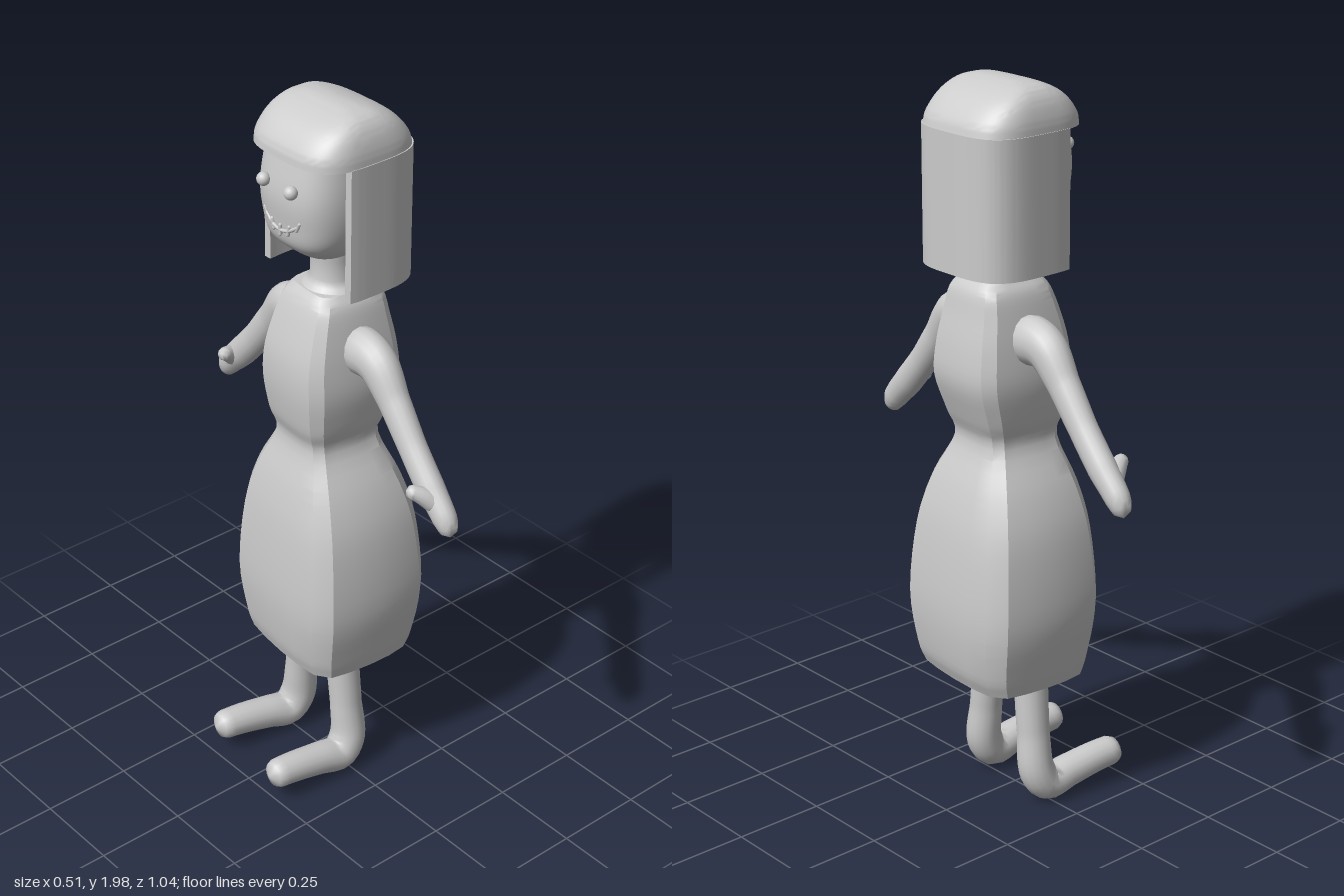
import * as THREE from 'three';
import { toCreasedNormals } from 'three/addons/utils/BufferGeometryUtils.js';

const material = new THREE.MeshStandardMaterial({ color: 0xcccccc });

function add(parent, name, geometry) {
  const mesh = new THREE.Mesh(geometry, material);
  mesh.name = name;
  parent.add(mesh);
  return mesh;
}

// Rounded-square outline with unit half width.
function superellipse(n, count) {
  const pts = [];
  for (let i = 0; i < count; i++) {
    const a = (i / count) * Math.PI * 2, c = Math.cos(a), s = Math.sin(a);
    pts.push([Math.sign(c) * Math.abs(c) ** (2 / n), Math.sign(s) * Math.abs(s) ** (2 / n)]);
  }
  return pts;
}

// Four slightly bulging sides joined by cut corners.
function cutSquare() {
  const quarter = [[1, 0], [0.985, 0.4], [0.94, 0.74], [0.74, 0.93], [0.4, 0.985]];
  const pts = [];
  for (let q = 0; q < 4; q++) {
    for (const [x, z] of quarter) {
      pts.push([[x, z], [-z, x], [-x, -z], [z, -x]][q]);
    }
  }
  return pts;
}

// Smooth a list of rows [y, xFront, xBack, halfDepth].
function smoothRows(rows, count) {
  const a = new THREE.CatmullRomCurve3(rows.map(r => new THREE.Vector3(r[0], r[1], r[3])), false, 'catmullrom');
  const b = new THREE.CatmullRomCurve3(rows.map(r => new THREE.Vector3(r[0], r[2], 0)), false, 'catmullrom');
  const out = [];
  for (let i = 0; i <= count; i++) {
    const p = a.getPoint(i / count), q = b.getPoint(i / count);
    out.push([p.x, p.y, q.y, p.z]);
  }
  return out;
}

// Skin an outline through rows [y, xFront, xBack, halfDepth].
function loft(outline, rows, crease = 0.55) {
  const pos = [], index = [], n = outline.length;
  for (const [y, x0, x1, hz] of rows) {
    for (const [u, v] of outline) pos.push((x0 + x1) / 2 + u * (x1 - x0) / 2, y, v * hz);
  }
  for (let i = 0; i < rows.length - 1; i++) {
    for (let j = 0; j < n; j++) {
      const a = i * n + j, b = i * n + (j + 1) % n, c = a + n, d = b + n;
      index.push(a, c, b, b, c, d);
    }
  }
  const g = new THREE.BufferGeometry();
  g.setAttribute('position', new THREE.Float32BufferAttribute(pos, 3));
  g.setIndex(index);
  return toCreasedNormals(g, crease);
}

// Round-ended tube through points [x, y, z, radius].
function limb(points, xScale = 1, segments = 48, sides = 16) {
  const path = new THREE.CatmullRomCurve3(points.map(p => new THREE.Vector3(p[0], p[1], p[2])));
  const length = path.getLength();
  const steps = [0];
  for (let i = 1; i < points.length; i++) {
    steps.push(steps[i - 1] + Math.hypot(...[0, 1, 2].map(k => points[i][k] - points[i - 1][k])));
  }
  const total = steps[steps.length - 1];
  const radiusAt = u => {
    let i = 1;
    while (i < points.length - 1 && steps[i] < u * total) i++;
    const t = (u * total - steps[i - 1]) / (steps[i] - steps[i - 1]);
    const r = THREE.MathUtils.lerp(points[i - 1][3], points[i][3], t);
    const d = Math.min(u, 1 - u) * length / (r * 0.8);
    return d < 1 ? r * Math.sqrt(Math.max(0, 1 - (1 - d) ** 2)) : r;
  };
  const g = new THREE.TubeGeometry(path, segments, 1, sides, false);
  const p = g.attributes.position, v = new THREE.Vector3();
  for (let i = 0; i <= segments; i++) {
    const center = path.getPointAt(i / segments), r = radiusAt(i / segments);
    for (let j = 0; j <= sides; j++) {
      const k = i * (sides + 1) + j;
      v.fromBufferAttribute(p, k).sub(center).multiplyScalar(r).add(center);
      p.setXYZ(k, v.x * xScale, v.y, v.z);
    }
  }
  return toCreasedNormals(g, 1.2);
}

function buildBody(body) {
  // Dress: hollow skirt, pinched waist and bodice
  const outer = smoothRows([
    [0.39, -0.172, 0.157, 0.193], [0.45, -0.187, 0.177, 0.207], [0.6, -0.2, 0.19, 0.23],
    [0.8, -0.187, 0.172, 0.212], [0.93, -0.163, 0.14, 0.172], [1.05, -0.128, 0.095, 0.112],
    [1.12, -0.145, 0.115, 0.124], [1.22, -0.158, 0.147, 0.138], [1.31, -0.154, 0.143, 0.132],
    [1.4, -0.13, 0.125, 0.117], [1.46, -0.107, 0.112, 0.102], [1.49, -0.085, 0.09, 0.08]], 44);
  const lining = [[0.95, 0, 0, 0], [0.95, -0.13, 0.11, 0.14], [0.8, -0.165, 0.15, 0.19],
    [0.6, -0.178, 0.168, 0.208], [0.45, -0.165, 0.155, 0.185], [0.39, -0.155, 0.14, 0.176]];
  add(body, 'dress', loft(cutSquare(), [...lining, ...outer, [1.49, 0, 0, 0]]));

  for (const [side, s] of [['left', 1], ['right', -1]]) {
    // Arm with a thumb
    const arm = new THREE.Group();
    arm.name = side + 'Arm';
    add(arm, side + 'ArmAndHand', limb([
      [0, 1.32, s * 0.07, 0.06], [0, 1.345, s * 0.14, 0.066], [0, 1.335, s * 0.195, 0.06],
      [0, 1.26, s * 0.265, 0.047], [0, 1.165, s * 0.345, 0.042], [0, 1.085, s * 0.42, 0.042],
      [0, 1.02, s * 0.485, 0.036], [0, 0.98, s * 0.507, 0.022]], 0.85));
    add(arm, side + 'Thumb', limb([[0, 1.05, s * 0.455, 0.03], [-0.035, 1.08, s * 0.435, 0.024],
      [-0.072, 1.1, s * 0.415, 0.016]], 1, 16, 12));
    body.add(arm);

    // Leg and foot in one bend
    add(body, side + 'Leg', limb([
      [-0.03, 0.75, s * 0.075, 0.05], [-0.03, 0.4, s * 0.09, 0.047], [-0.027, 0.22, s * 0.107, 0.045],
      [-0.03, 0.11, s * 0.12, 0.05], [-0.06, 0.067, s * 0.124, 0.05], [-0.13, 0.078, s * 0.127, 0.046],
      [-0.22, 0.092, s * 0.13, 0.043], [-0.305, 0.098, s * 0.132, 0.04]], 1, 64));
  }
}

function buildHead(head) {
  // Neck with a flared foot
  const neck = add(head, 'neck', new THREE.LatheGeometry([[0.085, 1.485], [0.07, 1.5], [0.058, 1.515],
    [0.058, 1.57], [0.068, 1.64]].map(p => new THREE.Vector2(...p)), 24));
  neck.position.x = 0.05;

  // Face
  const skull = smoothRows([[1.59, -0.02, 0.1, 0.06], [1.61, -0.065, 0.13, 0.09], [1.65, -0.107, 0.155, 0.12],
    [1.71, -0.12, 0.165, 0.137], [1.79, -0.125, 0.17, 0.142], [1.9, -0.105, 0.16, 0.135]], 24);
  add(head, 'face', loft(superellipse(2.8, 40), [[1.585, 0.04, 0.04, 0], ...skull, [1.9, 0.03, 0.03, 0]], 0.9));
  for (const z of [-0.055, 0.05]) {
    add(head, 'eye', new THREE.SphereGeometry(0.018, 16, 12)).position.set(-0.128, 1.81, z);
  }

  // Stitched smile
  const smile = [-0.06, -0.03, 0, 0.03, 0.06].map(z => new THREE.Vector3(-0.121 + z * z * 2, 1.69 + z * z * 7, z));
  add(head, 'mouth', new THREE.TubeGeometry(new THREE.CatmullRomCurve3(smile), 20, 0.005, 8));
  for (const p of smile) {
    const stitch = add(head, 'stitch', new THREE.CapsuleGeometry(0.005, 0.025, 3, 8));
    stitch.position.copy(p);
    stitch.rotation.x = p.z * 8;
  }

  // Hair crown with the fringe edge
  const outline = superellipse(3.4, 64);
  const crown = smoothRows([[1.88, -0.122, 0.217, 0.17], [1.91, -0.116, 0.207, 0.167], [1.945, -0.09, 0.178, 0.157],
    [1.97, -0.058, 0.145, 0.143], [1.988, -0.018, 0.105, 0.122], [1.998, 0.015, 0.07, 0.08]], 20);
  add(head, 'hairCrown', loft(outline, [[1.88, 0.05, 0.05, 0], ...crown, [2, 0.043, 0.043, 0]], 0.8));

  // Long hair around the sides and back, open at the face
  const arc = [];
  for (let i = -40; i <= 40; i++) {
    const a = (i / 40) * 1.87, c = Math.cos(a), s = Math.sin(a);
    arc.push([Math.sign(c) * Math.abs(c) ** (2 / 3.4), Math.sign(s) * Math.abs(s) ** (2 / 3.4)]);
  }
  arc[0][0] = arc[80][0] = -0.5;
  const shape = new THREE.Shape([
    ...arc.map(([u, v]) => new THREE.Vector2(0.05 + u * 0.17, v * 0.172)),
    ...arc.slice().reverse().map(([u, v]) => new THREE.Vector2(0.05 + (u < 0 ? u * 0.17 : u * 0.148), v * 0.15))]);
  const long = new THREE.ExtrudeGeometry(shape, { depth: 0.362, bevelEnabled: false });
  long.rotateX(-Math.PI / 2).translate(0, 1.52, 0);
  add(head, 'longHair', toCreasedNormals(long, 0.6));
}

export function createModel() {
  const model = new THREE.Group();
  model.name = 'doll';

  // The body is turned a little under the head
  const body = new THREE.Group();
  body.name = 'body';
  body.position.x = 0.05;
  body.rotation.y = -0.08;
  buildBody(body);

  const head = new THREE.Group();
  head.name = 'head';
  buildHead(head);

  model.add(body, head);
  return model;
}
